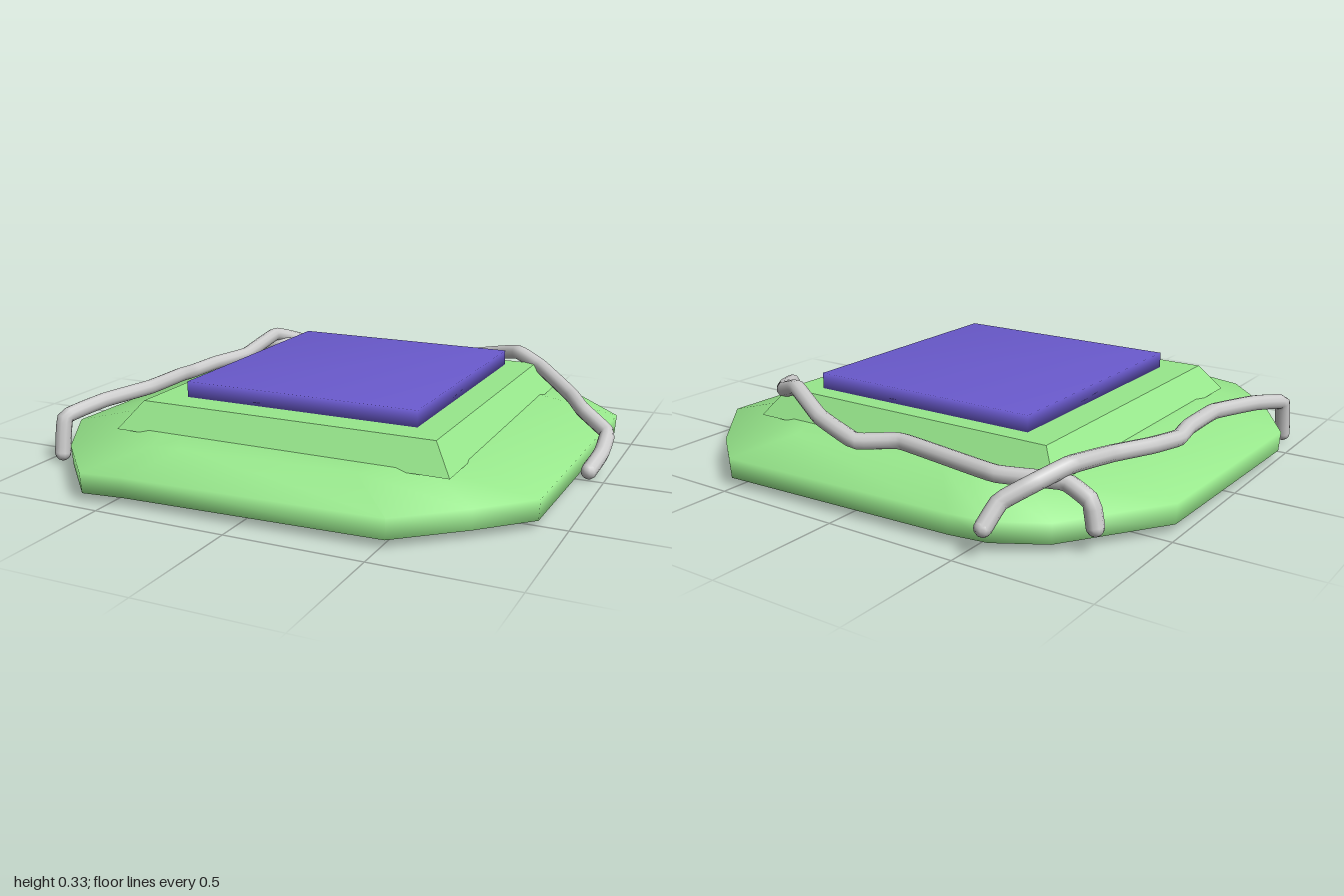
import * as THREE from 'three';
import { mergeVertices, toCreasedNormals } from 'three/addons/utils/BufferGeometryUtils.js';

const material = (color) => new THREE.MeshStandardMaterial({ color });

function mesh(name, geometry, mat) {
  const m = new THREE.Mesh(geometry, mat);
  m.name = name;
  return m;
}

// Loft of scaled copies of one outline, closed by a centre point at both ends
function loft(outline, rings) {
  const n = outline.length, pos = [], index = [];
  for (const [y, sx, sz] of rings)
    for (const [x, z] of outline) pos.push(x * sx, y, z * sz);
  for (let r = 0; r < rings.length - 1; r++)
    for (let i = 0; i < n; i++) {
      const a = r * n + i, b = r * n + (i + 1) % n;
      index.push(a, b, a + n, b, b + n, a + n);
    }
  const last = rings.length - 1, low = rings.length * n, high = low + 1;
  pos.push(0, rings[0][0], 0, 0, rings[last][0], 0);
  for (let i = 0; i < n; i++) {
    const j = (i + 1) % n;
    index.push(low, j, i, high, last * n + i, last * n + j);
  }
  const g = new THREE.BufferGeometry();
  g.setAttribute('position', new THREE.Float32BufferAttribute(pos, 3));
  g.setIndex(index);
  g.computeVertexNormals();
  return g;
}

// Knobbly vine along a few points, with rounded ends
function vine(name, points, mat) {
  const group = new THREE.Group();
  group.name = name;
  const pts = points.map((p) => new THREE.Vector3(...p));
  const curve = new THREE.CatmullRomCurve3(pts, false, 'catmullrom', 0.15);
  group.add(mesh('stem', new THREE.TubeGeometry(curve, 80, 0.03, 10), mat));
  for (const p of [pts[0], pts[pts.length - 1]]) {
    const tip = mesh('tip', new THREE.SphereGeometry(0.03, 10, 8), mat);
    tip.position.copy(p);
    group.add(tip);
  }
  return group;
}

export function createModel() {
  const model = new THREE.Group();
  const green = material(0x98e88c), purple = material(0x6a5acd), grey = material(0xcccccc);

  // Irregular rounded base slab, running from front left round to the back
  const outline = [
    [-0.6, 0.95], [-0.44, 0.93], [0.52, 0.89], [0.74, 0.7], [0.91, 0.53],
    [0.93, -0.53], [0.69, -0.81], [0.52, -0.95], [-0.42, -0.91], [-0.56, -0.89],
    [-0.73, -0.79], [-0.98, -0.43], [-1, 0.43], [-0.82, 0.72],
  ];
  model.add(mesh('base', loft(outline, [
    [0.03, 0.97, 0.97], [0.03, 0.995, 0.995], [0.105, 1, 1],
    [0.18, 0.68, 0.83], [0.18, 0.62, 0.7],
  ]), green));

  // Raised step with sloping sides
  const step = new THREE.BoxGeometry(1.15, 0.1, 1.17);
  const p = step.attributes.position;
  for (let i = 0; i < p.count; i++)
    if (p.getY(i) < 0) p.setXYZ(i, p.getX(i) * 1.13, p.getY(i), p.getZ(i) * 1.12);
  step.translate(-0.01, 0.22, -0.01);
  model.add(mesh('step', toCreasedNormals(step, 0.5), green));

  // Panel on top, softly shaded over its corners
  let panel = new THREE.BoxGeometry(0.92, 0.07, 0.985);
  panel.deleteAttribute('normal');
  panel.deleteAttribute('uv');
  panel = mergeVertices(panel);
  panel.computeVertexNormals();
  panel.translate(-0.005, 0.295, -0.027);
  model.add(mesh('topPanel', panel, purple));

  // Two vines crossing at one back corner
  model.add(vine('sideVine', [
    [-0.935, 0.035, 0.63], [-0.935, 0.17, 0.6], [-0.88, 0.2, 0.43], [-0.81, 0.21, 0.22],
    [-0.81, 0.21, 0], [-0.82, 0.2, -0.1], [-0.79, 0.21, -0.25], [-0.73, 0.22, -0.42],
    [-0.725, 0.26, -0.68], [-0.66, 0.22, -0.8], [-0.59, 0.17, -0.87], [-0.57, 0.1, -0.93],
  ], grey));
  model.add(vine('backVine', [
    [0.94, 0.03, -0.02], [0.96, 0.07, -0.12], [0.955, 0.12, -0.23], [0.84, 0.18, -0.3],
    [0.77, 0.2, -0.41], [0.59, 0.26, -0.59], [0.47, 0.3, -0.645], [0.27, 0.25, -0.74],
    [0.07, 0.21, -0.78], [-0.08, 0.22, -0.715], [-0.5, 0.21, -0.765], [-0.72, 0.21, -0.7],
    [-0.82, 0.17, -0.71], [-0.84, 0.09, -0.715],
  ], grey));

  return model;
}
